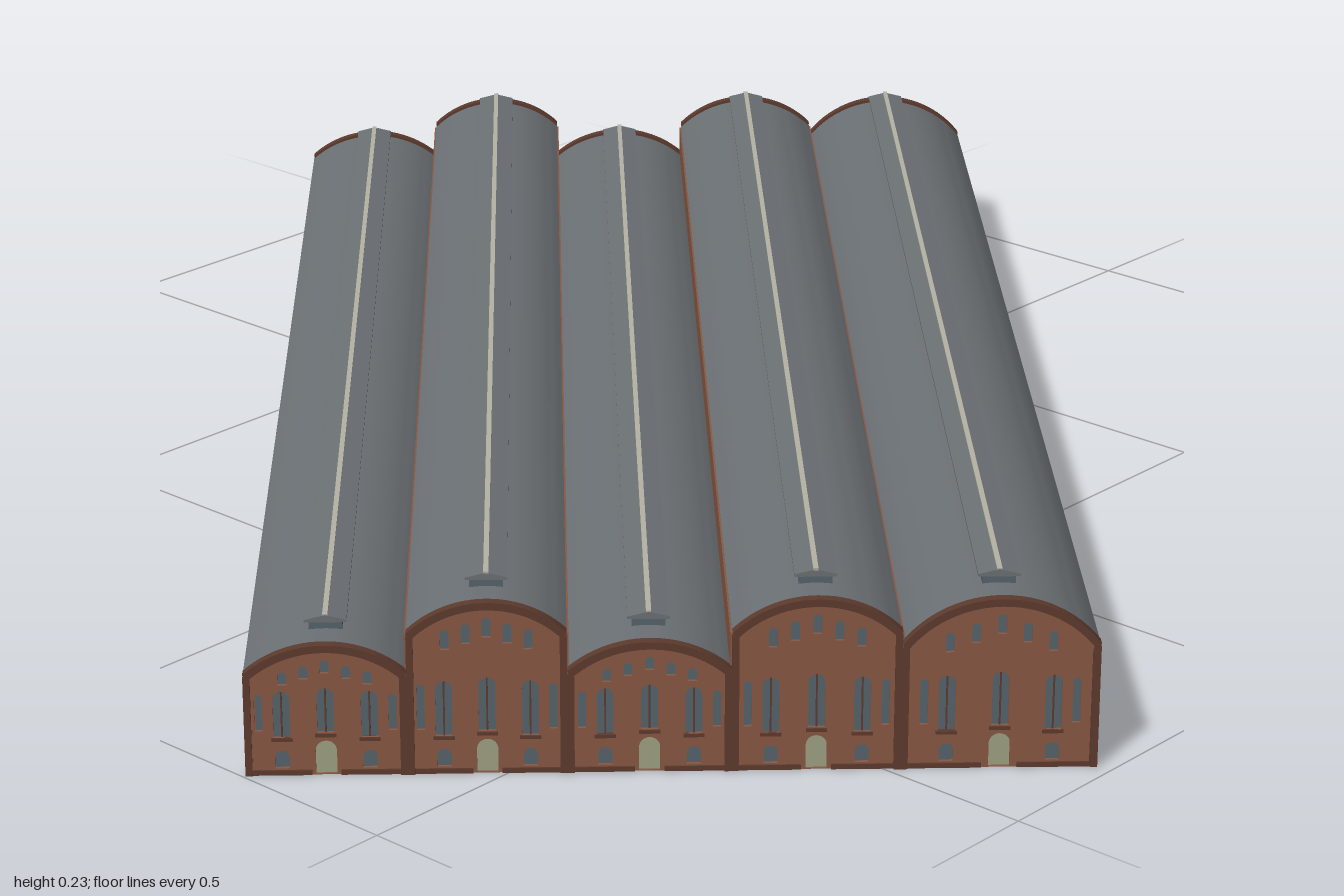
import * as THREE from 'three';
import { mergeGeometries, toCreasedNormals } from 'three/addons/utils/BufferGeometryUtils.js';

const mat = (color) => new THREE.MeshStandardMaterial({ color, side: THREE.DoubleSide });
const brick = mat(0x8a5844), darkBrick = mat(0x5e3b2e), slate = mat(0x6c7175);
const glass = mat(0x56656c), dark = mat(0x2c3033), doorMat = mat(0x9fa283), cream = mat(0xb5b3a4);

const HX = 0.92; // half length of the halls
// Each hall: left edge, right edge, eave height, crown height
const HALLS = [
  [-0.481, -0.298, 0.122, 0.157],
  [-0.298, -0.118, 0.17, 0.207],
  [-0.118, 0.067, 0.122, 0.157],
  [0.067, 0.258, 0.167, 0.207],
  [0.258, 0.481, 0.15, 0.205],
].map(([a, b, eave, top]) => ({ a, b, eave, top, mid: (a + b) / 2, w: b - a }));

function mesh(name, geo, material, parent) {
  const m = new THREE.Mesh(geo, material);
  m.name = name;
  parent.add(m);
  return m;
}

// Box given by its limits on each axis
function box(x0, x1, y0, y1, z0, z1) {
  return new THREE.BoxGeometry(x1 - x0, y1 - y0, z1 - z0)
    .translate((x0 + x1) / 2, (y0 + y1) / 2, (z0 + z1) / 2);
}

// Points of a segmental arch from left springing to right springing
function arch(w, eave, top, n = 24) {
  const h = w / 2, r = top - eave, R = (h * h + r * r) / (2 * r), half = Math.asin(h / R);
  return Array.from({ length: n + 1 }, (_, i) => {
    const t = half * (2 * i / n - 1);
    return new THREE.Vector2(R * Math.sin(t), top - R + R * Math.cos(t));
  });
}

// Opening with a round-arched head
function opening(x, y0, y1, w) {
  const p = new THREE.Path(), r = w / 2;
  p.moveTo(x - r, y0);
  p.lineTo(x + r, y0);
  p.lineTo(x + r, y1 - r);
  p.absarc(x, y1 - r, r, 0, Math.PI, false);
  p.closePath();
  return p;
}

const extrude = (shape, depth) =>
  new THREE.ExtrudeGeometry(shape, { depth, bevelEnabled: false, curveSegments: 6 });

// Band following the arch, between two offsets from it
function archBand(h, hi, lo, inset = 0) {
  const outer = arch(h.w, h.eave + hi, h.top + hi);
  const inner = arch(h.w - 2 * inset, h.eave + lo, h.top + lo).reverse();
  return new THREE.Shape([...outer, ...inner]);
}

// Vaulted roof with its long ridge lantern
function roof(h) {
  const g = new THREE.Group();
  g.name = 'hallRoof';
  g.position.z = h.mid;
  const vault = extrude(archBand(h, 0, -0.004), 2 * HX - 0.016);
  vault.translate(0, 0, -HX + 0.008).rotateY(Math.PI / 2);
  mesh('vault', toCreasedNormals(vault, 0.5), slate, g);
  const x0 = -0.868, x1 = 0.894, y = h.top;
  mesh('lanternGlazing', box(x0 + 0.004, x1 - 0.004, y - 0.004, y + 0.011, -0.019, 0.019), glass, g);
  const cap = new THREE.Shape([[-0.024, 0.009], [0.024, 0.009], [0.024, 0.012], [0, 0.018], [-0.024, 0.012]]
    .map(([u, v]) => new THREE.Vector2(u, y + v)));
  mesh('lanternRoof', extrude(cap, x1 - x0).rotateY(Math.PI / 2).translate(x0, 0, 0), slate, g);
  mesh('ridgeCap', box(x0, x1, y + 0.016, y + 0.0195, -0.003, 0.003), cream, g);
  return g;
}

// End wall, drawn facing +z and turned into place by the caller
function gable(h) {
  const g = new THREE.Group();
  g.name = 'gableWall';
  const outline = () => [new THREE.Vector2(-h.w / 2, 0), ...arch(h.w, h.eave, h.top), new THREE.Vector2(h.w / 2, 0)];
  mesh('backing', new THREE.ShapeGeometry(new THREE.Shape(outline())), brick, g);

  const sx = h.w * 0.27, head = Math.min(h.eave - 0.015, 0.118);
  const holes = [opening(0, 0.052, head, 0.019)];
  for (const s of [-1, 1]) {
    holes.push(opening(s * sx, 0.046, head - 0.004, 0.019));
    holes.push(opening(s * (sx + 0.026), 0.054, head - 0.008, 0.009));
    holes.push(opening(s * sx, 0.008, 0.03, 0.016));
  }
  // Stepped row of small windows under the arch
  const tall = h.eave > 0.14;
  for (let i = -2; i <= 2; i++) {
    const u = i * h.w * 0.13, drop = Math.abs(i) * (h.top - h.eave) * 0.2;
    const y1 = h.top - 0.016 - drop;
    holes.push(opening(u, y1 - (tall ? 0.024 : 0.016), y1, 0.01));
  }
  const door = opening(0, 0.001, 0.042, 0.024);
  const wall = new THREE.Shape(outline());
  wall.holes.push(...holes, door);
  mesh('brickFace', extrude(wall, 0.006).translate(0, 0, 0.002), brick, g);
  const panes = holes.map((p) => new THREE.Shape(p.getPoints(6)));
  mesh('windowPanes', new THREE.ShapeGeometry(panes).translate(0, 0, 0.004), glass, g);
  mesh('door', new THREE.ShapeGeometry(new THREE.Shape(door.getPoints(6))).translate(0, 0, 0.005), doorMat, g);

  // Parapet rim, corner piers, sills, glazing bars and plinth
  mesh('parapetRim', extrude(archBand(h, 0.004, -0.005, 0.004), 0.012), darkBrick, g);
  const trim = [];
  for (const s of [-1, 1]) {
    const e = s * (h.w / 2 - 0.004);
    trim.push(box(e - 0.004, e + 0.004, 0, h.eave, 0.002, 0.012));
    trim.push(box(s * sx - 0.012, s * sx + 0.012, 0.042, 0.046, 0.004, 0.01));
    trim.push(box(s * sx - 0.001, s * sx + 0.001, 0.046, head - 0.004, 0.004, 0.006));
    trim.push(box(s * h.w * 0.29 - h.w * 0.2, s * h.w * 0.29 + h.w * 0.2, 0, 0.006, 0.004, 0.01));
  }
  trim.push(box(-0.012, 0.012, 0.047, 0.051, 0.004, 0.01));
  trim.push(box(-0.001, 0.001, 0.052, head, 0.004, 0.006));
  mesh('brickTrim', mergeGeometries(trim), darkBrick, g);
  return g;
}

// Large glazed bays along the tall outer side
function glazedSide() {
  const g = new THREE.Group();
  g.name = 'glazedSideWall';
  const eave = HALLS[4].eave, n = 26, len = 2 * HX - 0.016, pitch = len / n, z = 0.472;
  mesh('wall', box(-len / 2, len / 2, 0, eave, z - 0.004, z), brick, g);
  const panes = [], piers = [], bars = [];
  for (let i = 0; i <= n; i++) {
    const x = -len / 2 + i * pitch;
    piers.push(box(x - 0.006, x + 0.006, 0, eave - 0.004, z, 0.481));
    if (i === n) break;
    const c = x + pitch / 2;
    for (const s of [-1, 1]) {
      const u = c + s * 0.0135;
      panes.push(box(u - 0.0105, u + 0.0105, 0.014, 0.066, z, z + 0.002));
      panes.push(box(u - 0.0105, u + 0.0105, 0.078, 0.132, z, z + 0.002));
      bars.push(box(u - 0.0008, u + 0.0008, 0.014, 0.132, z, z + 0.003));
    }
    bars.push(box(c - 0.025, c + 0.025, 0.038, 0.0395, z, z + 0.003));
    bars.push(box(c - 0.025, c + 0.025, 0.106, 0.1075, z, z + 0.003));
  }
  piers.push(box(-len / 2, len / 2, 0, 0.01, z, 0.479));
  piers.push(box(-len / 2, len / 2, 0.069, 0.074, z, 0.477));
  piers.push(box(-len / 2, len / 2, eave - 0.01, eave - 0.002, z, 0.481));
  mesh('windowPanes', mergeGeometries(panes), glass, g);
  mesh('piersAndBands', mergeGeometries(piers), darkBrick, g);
  mesh('glazingBars', mergeGeometries(bars), darkBrick, g);
  return g;
}

// Low outer side: dark ground-level openings, small windows above
function arcadeSide() {
  const g = new THREE.Group();
  g.name = 'arcadeSideWall';
  const eave = HALLS[0].eave, n = 40, len = 2 * HX - 0.016, pitch = len / n, z = -0.472;
  mesh('wall', box(-len / 2, len / 2, 0, eave, z, z + 0.004), brick, g);
  const gates = [], panes = [], piers = [];
  for (let i = 0; i <= n; i++) {
    const x = -len / 2 + i * pitch, c = x + pitch / 2;
    piers.push(box(x - 0.005, x + 0.005, 0, 0.07, -0.48, z));
    piers.push(box(x - 0.003, x + 0.003, 0.07, eave - 0.01, -0.477, z));
    if (i === n) break;
    gates.push(box(c - 0.014, c + 0.014, 0.003, 0.062, z - 0.002, z));
    panes.push(box(c - 0.008, c + 0.008, 0.082, 0.102, z - 0.002, z));
    piers.push(box(c - 0.01, c + 0.01, 0.078, 0.081, z - 0.004, z));
  }
  piers.push(box(-len / 2, len / 2, 0.066, 0.072, -0.481, z));
  piers.push(box(-len / 2, len / 2, eave - 0.01, eave - 0.002, -0.481, z));
  mesh('openings', mergeGeometries(gates), dark, g);
  mesh('windowPanes', mergeGeometries(panes), glass, g);
  mesh('piersAndBands', mergeGeometries(piers), brick, g);
  return g;
}

export function createModel() {
  const model = new THREE.Group();
  const building = new THREE.Group();
  building.name = 'marketHalls';
  building.rotation.y = 0.762; // the halls stand diagonally on the site
  model.add(building);

  HALLS.forEach((h, i) => {
    building.add(roof(h));
    for (const s of [-1, 1]) {
      const end = gable(h);
      end.position.set(s * (HX - 0.012), 0, h.mid);
      end.rotation.y = s * Math.PI / 2;
      building.add(end);
    }
    // Brick band between neighbouring roofs of different height
    const next = HALLS[i + 1];
    if (next) {
      const lo = Math.min(h.eave, next.eave) - 0.006, hi = Math.max(h.eave, next.eave);
      mesh('valleyWall', box(-HX + 0.01, HX - 0.01, lo, hi - 0.001, h.b - 0.002, h.b + 0.002), brick, building);
    }
  });
  building.add(glazedSide(), arcadeSide());
  return model;
}
